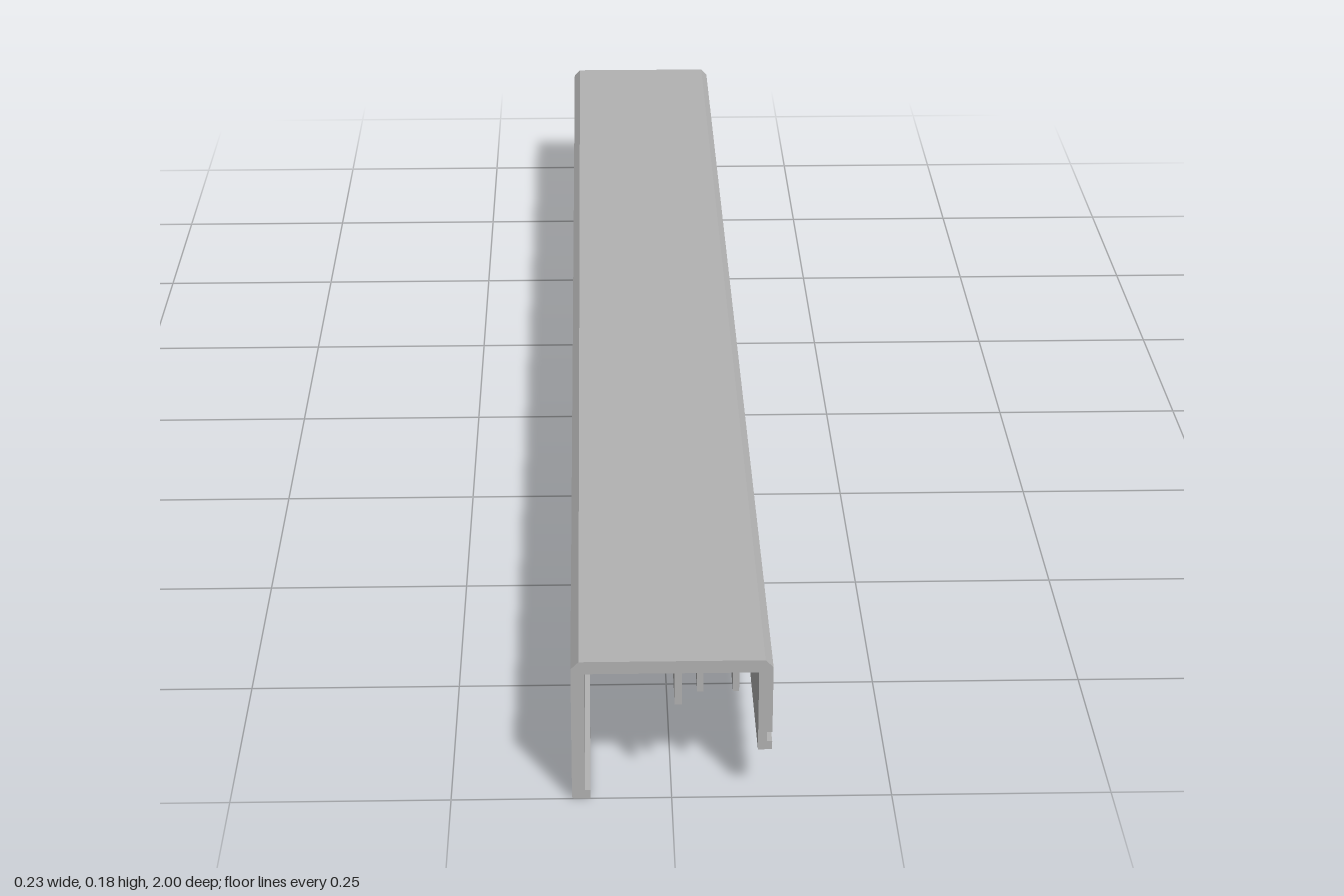
import * as THREE from 'three';

const LENGTH = 2;

export function createModel() {
  const group = new THREE.Group();
  group.name = 'channelProfile';
  const grey = new THREE.MeshStandardMaterial({ color: 0xb2b2b2 });
  grey.name = 'aluminium grey';

  const W = 0.113, TOP = 0.178, UNDER = 0.1625, CHAMFER = 0.009;

  // underside ribs: [left x, right x, bottom y], from right to left
  const ribs = [[0.068, 0.075, 0.139], [0.028, 0.035, 0.139], [0.003, 0.011, 0.122]];
  const ribPoints = ribs.flatMap(([a, b, y]) => [[b, UNDER], [b, y], [a, y], [a, UNDER]]);

  const outline = [
    // tall wall with inward lip
    [-W, 0.002], [-W + 0.002, 0], [-0.092, 0], [-0.092, 0.011], [-0.098, 0.011], [-0.098, UNDER],
    // underside of the top plate with its ribs
    ...ribPoints.reverse(),
    // short wall with a groove on its outer face
    [0.097, UNDER], [0.097, 0.0625], [W, 0.0625], [W, 0.073], [0.107, 0.073], [0.107, 0.085], [W, 0.085],
    // chamfered top edges
    [W, TOP - CHAMFER], [W - CHAMFER, TOP], [-W + CHAMFER, TOP], [-W, TOP - CHAMFER],
  ];

  // one continuous extruded section
  const shape = new THREE.Shape(outline.map(([x, y]) => new THREE.Vector2(x, y)));
  const geometry = new THREE.ExtrudeGeometry(shape, { depth: LENGTH, bevelEnabled: false });
  geometry.translate(0, 0, -LENGTH / 2);

  const channel = new THREE.Mesh(geometry, grey);
  channel.name = 'extrudedChannel';
  group.add(channel);
  return group;
}
